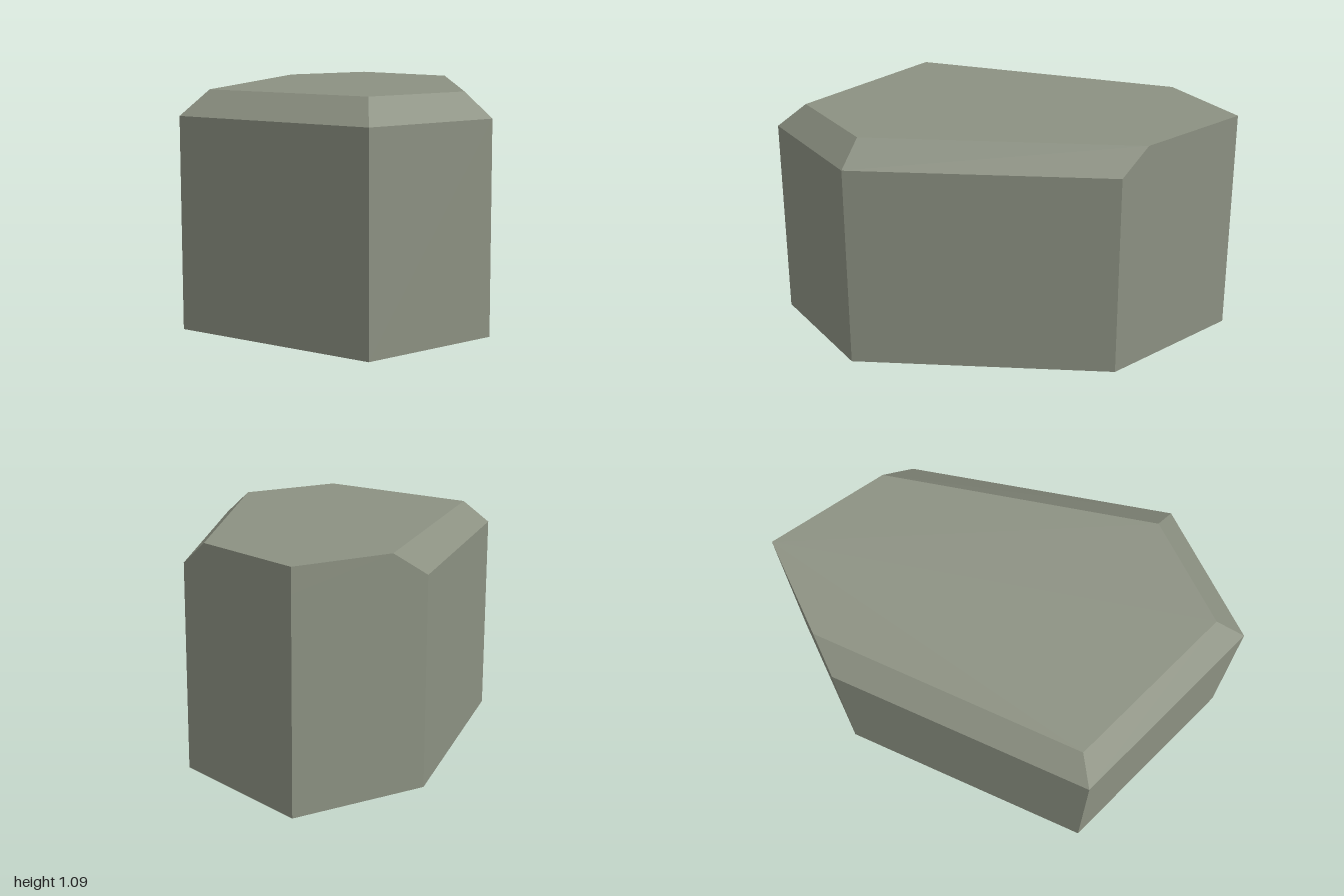
import * as THREE from 'three';

// Footprint corners (x, z), clockwise seen from above, starting at the back corner
const FOOT = [[-0.455, -1], [0.26, -0.74], [0.78, 0.39], [0.46, 0.995], [-0.54, 0.825], [-0.785, -0.41]];
const SHOULDER = 0.975;
const TOP = 1.09;

const lerp = (a, b, t) => [a[0] + (b[0] - a[0]) * t, a[1] + (b[1] - a[1]) * t];

// Top outline: bevelled in everywhere except along the two back walls
const CROWN = [
  FOOT[0],
  lerp(FOOT[1], FOOT[0], 0.21),
  [0.65, 0.39],
  [0.40, 0.865],
  [-0.445, 0.72],
  lerp(FOOT[5], FOOT[0], 0.27),
];

// Flat-faced solid through stacked rings, closed at both ends
function stackRings(rings) {
  const positions = [];
  const tri = (...points) => points.forEach((p) => positions.push(...p));
  const n = rings[0].length;
  for (let r = 0; r < rings.length - 1; r++) {
    for (let i = 0; i < n; i++) {
      const j = (i + 1) % n;
      const [lower, upper] = [rings[r], rings[r + 1]];
      tri(lower[j], lower[i], upper[i]);
      tri(lower[j], upper[i], upper[j]);
    }
  }
  const bottom = rings[0];
  const top = rings[rings.length - 1];
  for (let i = 1; i < n - 1; i++) {
    tri(bottom[0], bottom[i], bottom[i + 1]);
    tri(top[0], top[i + 1], top[i]);
  }
  const geometry = new THREE.BufferGeometry();
  geometry.setAttribute('position', new THREE.Float32BufferAttribute(positions, 3));
  geometry.computeVertexNormals();
  return geometry;
}

export function createModel() {
  const group = new THREE.Group();
  group.name = 'boulder';

  const stone = new THREE.MeshStandardMaterial({ color: 0x8c9182, flatShading: true });
  stone.name = 'grey green stone';

  // Straight walls, then the chamfered upper edge
  const ring = (outline, y) => outline.map(([x, z]) => [x, y, z]);
  const rock = new THREE.Mesh(
    stackRings([ring(FOOT, 0), ring(FOOT, SHOULDER), ring(CROWN, TOP)]),
    stone
  );
  rock.name = 'chamferedRock';
  group.add(rock);
  return group;
}
